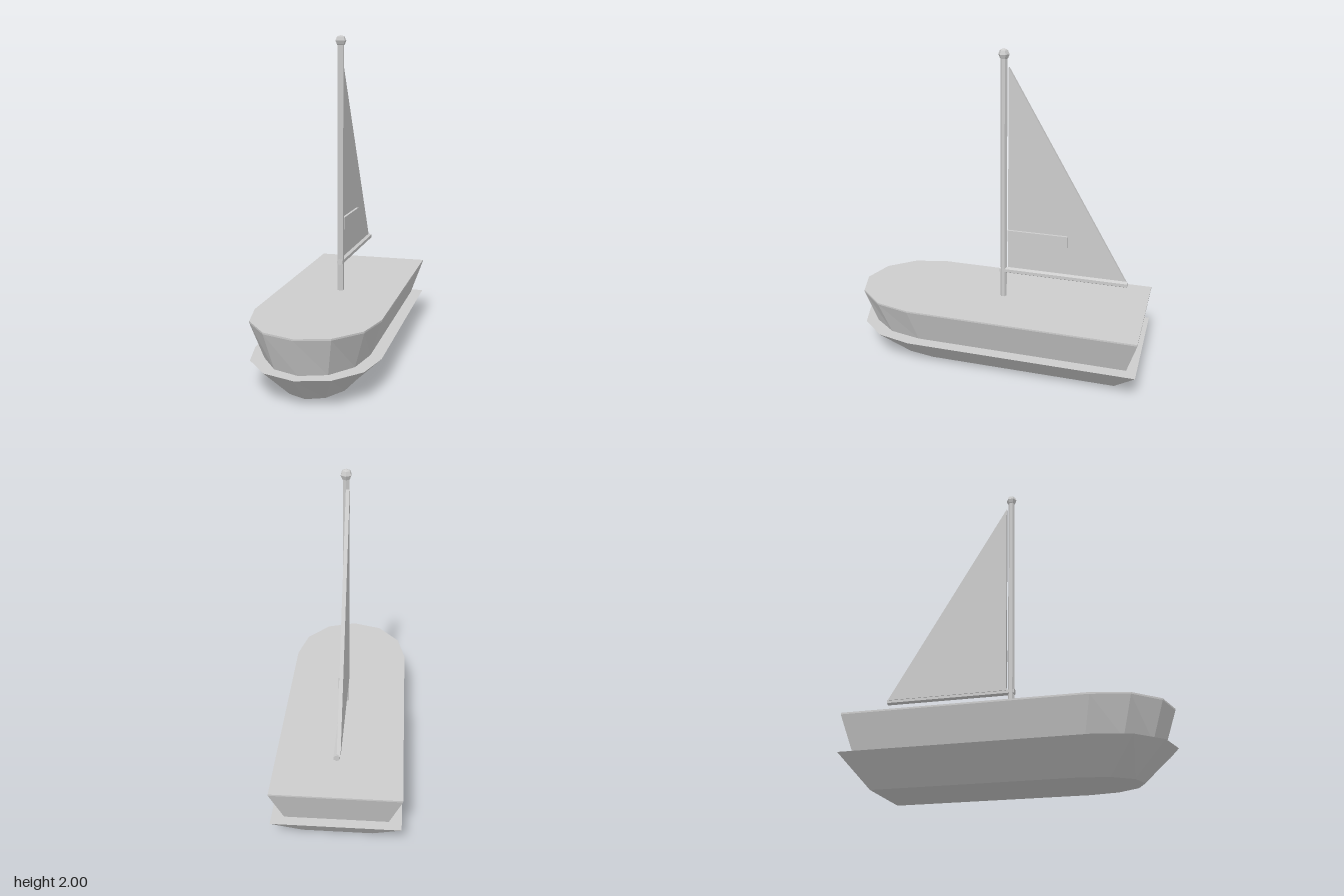
import * as THREE from 'three';

const grey = new THREE.MeshStandardMaterial({ color: 0xcccccc, flatShading: true });
grey.name = 'light grey';

// Hull outline at one height: rounded bow at +z, flat transom at the back
function outline(y, halfWidth, bowStart, bowLength, back) {
  const ring = [];
  for (let i = 0; i <= 6; i++) {
    const a = (i / 6) * Math.PI;
    ring.push([halfWidth * Math.cos(a), y, bowStart + bowLength * Math.sin(a)]);
  }
  ring.push([-halfWidth, y, back], [halfWidth, y, back]);
  return ring;
}

// Closed solid between two outlines
function loft(bottom, top) {
  const pos = [];
  const tri = (a, b, c) => pos.push(...a, ...b, ...c);
  const n = bottom.length;
  for (let i = 0; i < n; i++) {
    const j = (i + 1) % n;
    tri(bottom[i], top[i], top[j]);
    tri(bottom[i], top[j], bottom[j]);
    if (i > 0 && i < n - 1) {
      tri(top[0], top[j], top[i]);
      tri(bottom[0], bottom[i], bottom[j]);
    }
  }
  const geo = new THREE.BufferGeometry();
  geo.setAttribute('position', new THREE.Float32BufferAttribute(pos, 3));
  geo.computeVertexNormals();
  return geo;
}

export function createModel() {
  const model = new THREE.Group();
  model.name = 'sailboat';
  const add = (name, geo, x = 0, y = 0, z = 0) => {
    const mesh = new THREE.Mesh(geo, grey);
    mesh.name = name;
    mesh.position.set(x, y, z);
    model.add(mesh);
    return mesh;
  };
  const rim = (y) => outline(y, 0.38, 0.5, 0.43, -0.93);

  // Two flared hull tiers and a thin deck
  add('lowerHull', loft(outline(0, 0.21, 0.4, 0.335, -0.79), rim(0.183)));
  add('upperHull', loft(outline(0.183, 0.305, 0.456, 0.4, -0.868), rim(0.403)));
  add('deck', loft(rim(0.403), rim(0.413)));

  // Mast with a ball on top
  add('mast', new THREE.CylinderGeometry(0.021, 0.021, 1.54, 6), 0, 1.18, -0.022);
  const ball = new THREE.SphereGeometry(0.034, 6, 4).rotateY(Math.PI / 6);
  add('mastBall', ball, 0, 1.966, -0.022);

  // Boom running aft from the mast
  const boom = new THREE.CylinderGeometry(0.02, 0.02, 0.81, 6).rotateX(Math.PI / 2);
  add('boom', boom, 0, 0.597, -0.405);

  // Triangular sail, slightly off to the right side of the boom
  const sail = new THREE.Shape([
    new THREE.Vector2(0.05, 0.603),
    new THREE.Vector2(0.805, 0.603),
    new THREE.Vector2(0.05, 1.89),
  ]);
  const sailGeo = new THREE.ExtrudeGeometry(sail, { depth: 0.022, bevelEnabled: false });
  add('sail', sailGeo.rotateY(Math.PI / 2), -0.022);

  // Raised strip on one face of the sail
  add('sailStrip', new THREE.BoxGeometry(0.016, 0.075, 0.38), 0.008, 0.837, -0.24);

  return model;
}
